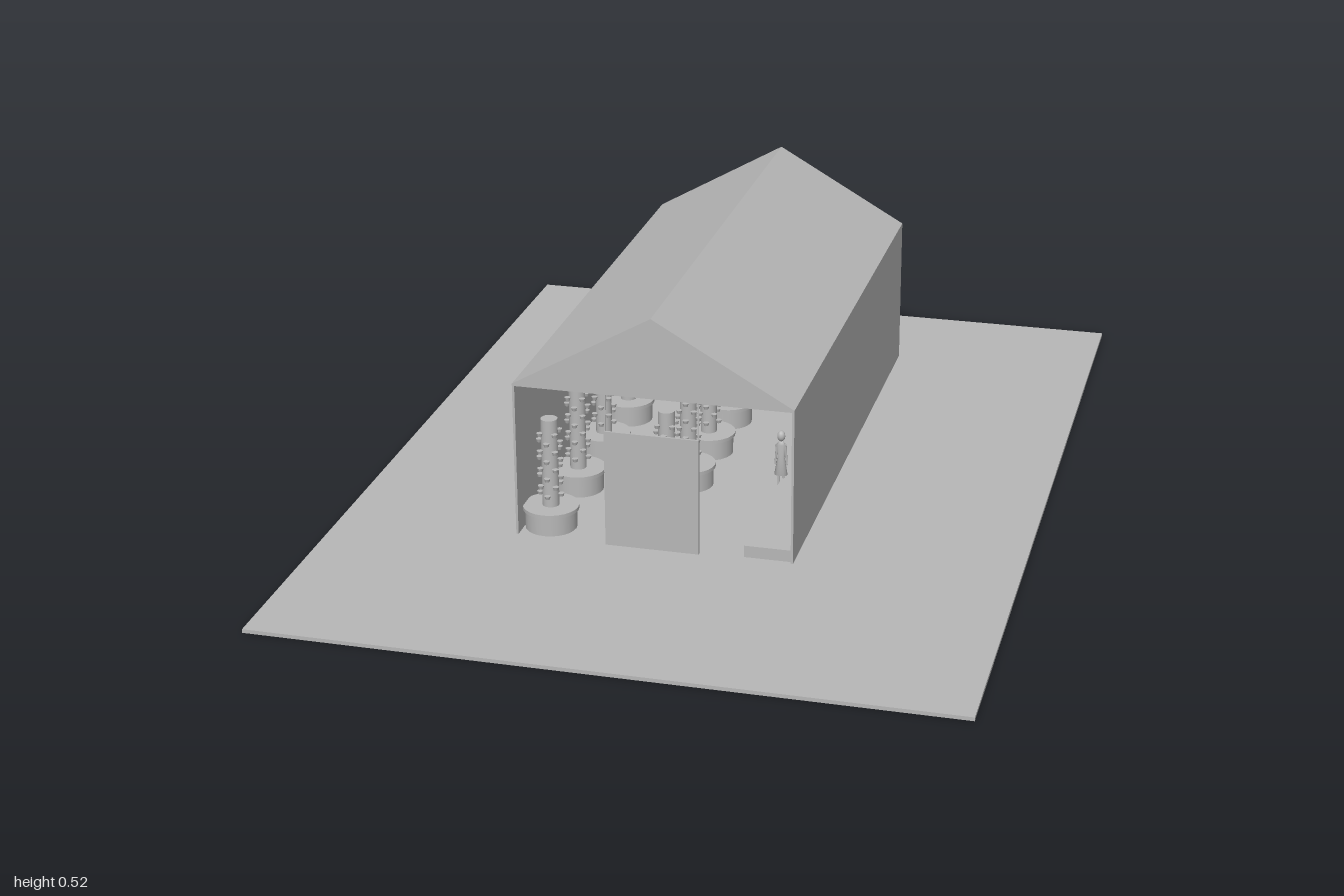
import * as THREE from 'three';

export function createModel() {
  const model = new THREE.Group();
  model.name = 'greenhouse';
  const grey = new THREE.MeshStandardMaterial({ color: 0xb8b8b8 });
  grey.name = 'plain grey';

  const add = (geometry, name, x = 0, y = 0, z = 0, parent = model) => {
    const mesh = new THREE.Mesh(geometry, grey);
    mesh.name = name;
    mesh.position.set(x, y, z);
    parent.add(mesh);
    return mesh;
  };
  // Box given by its limits on each axis
  const box = (name, x0, x1, y0, y1, z0, z1, parent) =>
    add(new THREE.BoxGeometry(x1 - x0, y1 - y0, z1 - z0), name,
      (x0 + x1) / 2, (y0 + y1) / 2, (z0 + z1) / 2, parent);

  const floor = 0.008, left = -0.337, right = 0.26, back = -0.73, front = 0.457, eave = 0.345;

  // Ground plate and long side walls
  box('groundPlate', -0.725, 0.725, 0, floor, -1, 1);
  box('wallRight', left, left + 0.005, floor, eave, back, front);
  box('wallLeft', right - 0.005, right, floor, eave, back, front);

  // Gabled roof, closed underneath
  const gable = new THREE.Shape([[left, eave], [right, eave], [right, 0.35], [-0.039, 0.52], [left, 0.35]]
    .map(([x, y]) => new THREE.Vector2(x, y)));
  add(new THREE.ExtrudeGeometry(gable, { depth: front - back, bevelEnabled: false }), 'roof', 0, 0, back);

  // Slim door posts at both ends and the front door panel
  for (const z of [back, front - 0.003])
    for (const x of [-0.14, 0.058]) box('doorPost', x, x + 0.003, floor, eave, z, z + 0.003);
  box('frontDoor', -0.14, 0.061, floor, 0.265, front, front + 0.005);

  // Planting towers: tub with rim, column and rings of small cups
  const tub = new THREE.LatheGeometry([[0, 0], [0.055, 0], [0.055, 0.042], [0.06, 0.042], [0.06, 0.05], [0, 0.05]]
    .flatMap(([r, y], i) => i ? [new THREE.Vector2(r, y), new THREE.Vector2(r, y)] : [new THREE.Vector2(r, y)]), 24);
  const column = new THREE.CylinderGeometry(0.018, 0.018, 0.197, 18);
  const cup = new THREE.CylinderGeometry(0.007, 0.005, 0.007, 8);
  const tower = (x, z) => {
    const g = new THREE.Group();
    g.name = 'plantingTower';
    g.position.set(x, floor, z);
    add(tub, 'tub', 0, 0, 0, g);
    add(column, 'column', 0, 0.1485, 0, g);
    for (let level = 0; level < 8; level++)
      for (let k = 0; k < 4; k++) {
        const a = k * Math.PI / 2 + (level % 2) * Math.PI / 4;
        add(cup, 'plantCup', Math.cos(a) * 0.023, 0.075 + level * 0.02, Math.sin(a) * 0.023, g);
      }
    model.add(g);
  };
  for (let i = 0; i < 6; i++) {
    tower(-0.277, 0.4 - i * 0.2);
    tower(-0.05, 0.3 - i * 0.18);
  }

  // Shelf rack along the left wall, with uprights, and a low bench by the entrance
  for (let i = 0; i < 4; i++) {
    const y = 0.012 + i * 0.079;
    box('shelf', 0.2, 0.253, y, y + 0.028, -0.7, 0.1);
  }
  for (const z of [-0.7, -0.3, 0.095]) box('shelfUpright', 0.251, 0.255, floor, 0.33, z, z + 0.005);
  box('bench', 0.155, 0.255, floor, 0.034, 0.1, 0.45);

  // Standing figure: coat, head, arms and legs
  const figure = new THREE.Group();
  figure.name = 'figure';
  figure.position.set(0.153, floor, 0.1);
  const coat = [[0, 0.034], [0.015, 0.034], [0.008, 0.075], [0.011, 0.105], [0.004, 0.113], [0, 0.114]];
  add(new THREE.LatheGeometry(coat.map(([r, y]) => new THREE.Vector2(r, y)), 12), 'coat', 0, 0, 0, figure)
    .scale.z = 0.7;
  add(new THREE.SphereGeometry(0.009, 12, 8), 'head', 0, 0.125, 0, figure).scale.y = 1.35;
  for (const s of [-1, 1]) {
    add(new THREE.CylinderGeometry(0.003, 0.003, 0.036, 8), 'leg', s * 0.005, 0.018, 0, figure);
    add(new THREE.CylinderGeometry(0.003, 0.002, 0.05, 8), 'arm', s * 0.011, 0.082, 0, figure).rotation.z = s * 0.08;
  }
  model.add(figure);

  return model;
}
